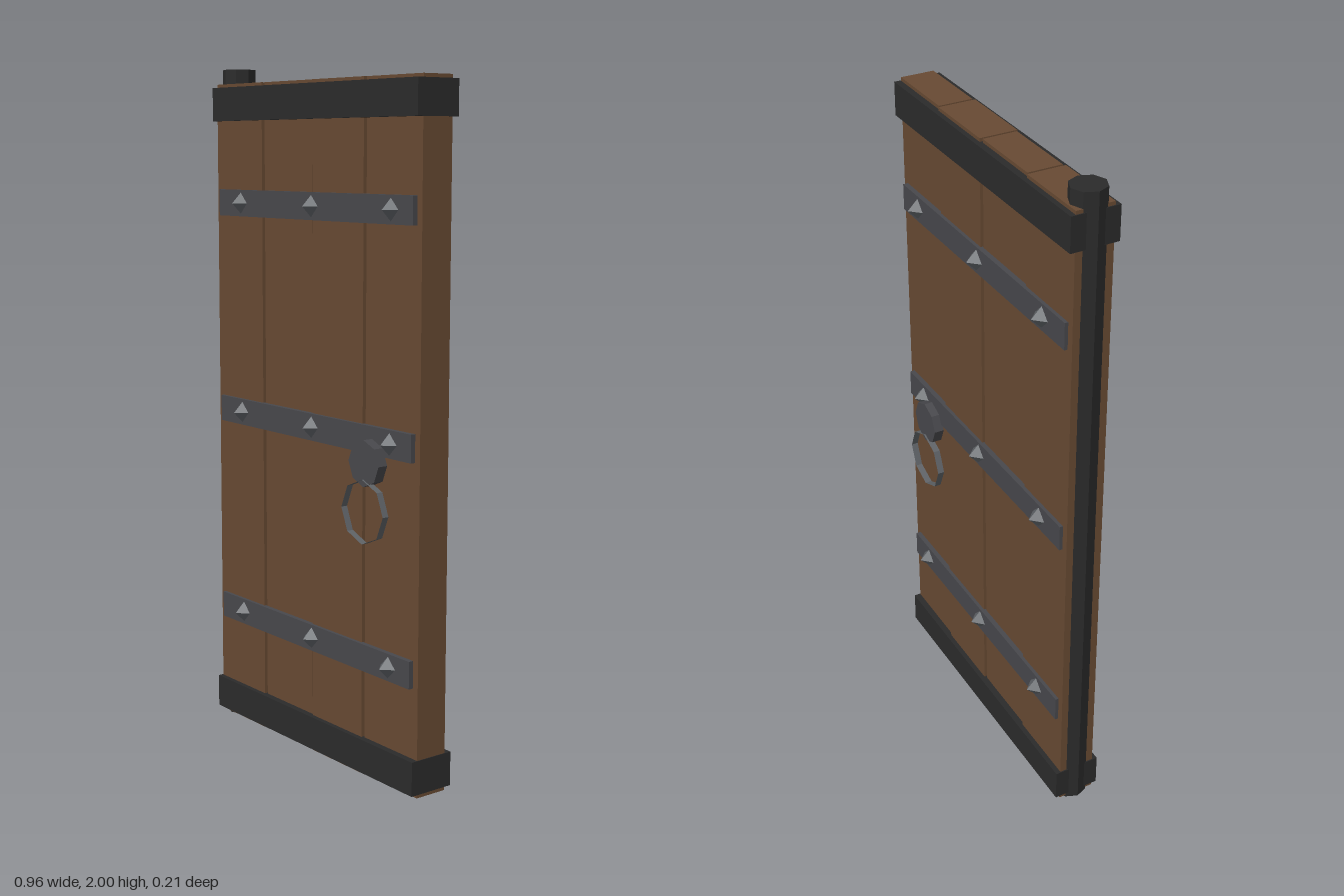
import * as THREE from 'three';

export function createModel() {
  const door = new THREE.Group();
  door.name = 'door';

  const material = (name, color) => {
    const m = new THREE.MeshStandardMaterial({ color });
    m.name = name;
    return m;
  };
  const wood = material('wood', 0x684a33);
  const darkIron = material('darkIron', 0x2b2b2b);
  const strapIron = material('strapIron', 0x48484c);
  const paleIron = material('paleIron', 0x5e6266);
  // the ring is an open ribbon
  paleIron.side = THREE.DoubleSide;

  const midZ = -0.01;

  function add(name, geometry, mat, x, y, z) {
    const faceted = geometry.index ? geometry.toNonIndexed() : geometry;
    faceted.computeVertexNormals();
    const mesh = new THREE.Mesh(faceted, mat);
    mesh.name = name;
    mesh.position.set(x, y, z);
    door.add(mesh);
    return mesh;
  }
  const box = (name, mat, w, h, d, x, y, z) =>
    add(name, new THREE.BoxGeometry(w, h, d), mat, x, y, z);

  // four upright planks with narrow gaps and alternating thickness
  for (let i = 0; i < 4; i++) {
    const thickness = i % 2 ? 0.1 : 0.11;
    box('plank', wood, 0.23, 1.95, thickness, -0.351 + i * 0.237, 0.982, midZ);
  }

  // heavy bands around the top and bottom
  for (const y of [0.066, 1.898]) box('edgeBand', darkIron, 0.946, 0.098, 0.14, 0.004, y, midZ);

  // hinge post
  add('hingePost', new THREE.CylinderGeometry(0.05, 0.05, 2, 8), darkIron, -0.43, 1, midZ);

  // straps and pyramid studs on both faces
  for (const side of [1, -1]) {
    for (const y of [0.355, 0.98, 1.608]) {
      box('strap', strapIron, 0.9, 0.078, 0.016, 0.005, y, midZ + side * 0.057);
      for (const x of [-0.332, 0.015, 0.365]) {
        const stud = new THREE.ConeGeometry(0.032, 0.032, 4).rotateX(side * Math.PI / 2);
        add('stud', stud, paleIron, x, y, midZ + side * 0.08);
      }
    }

    // handle: octagonal plate with a hanging ring
    const plate = new THREE.CylinderGeometry(0.065, 0.065, 0.03, 8).rotateX(Math.PI / 2);
    add('handlePlate', plate, strapIron, 0.31, 0.924, side * 0.085);
    const ring = new THREE.CylinderGeometry(0.09, 0.09, 0.02, 8, 1, true).rotateX(Math.PI / 2);
    add('handleRing', ring, paleIron, 0.31, 0.79, side * 0.095);
  }

  return door;
}
